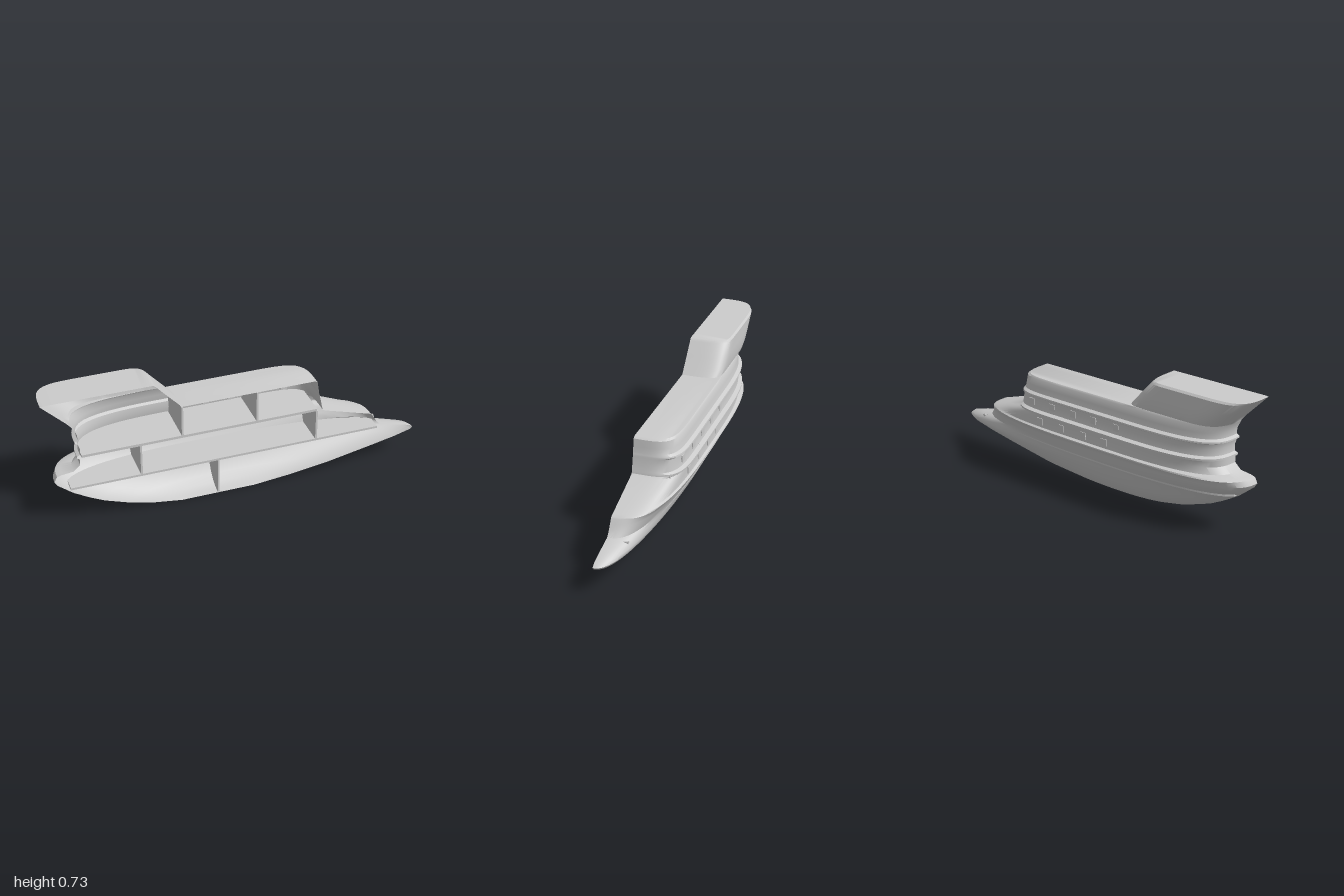
import * as THREE from 'three';
import { toCreasedNormals } from 'three/addons/utils/BufferGeometryUtils.js';

const CUT = 0.125; // z of the open cut plane along the ship's centre line
const SIDE_STEPS = 22;

// Waterlines of the half shell: [y, stern x, bow x, half breadth]
const ROWS = [
  [0, -0.3, 0.1, 0], [0.006, -0.34, 0.16, 0.03], [0.02, -0.44, 0.3, 0.068], [0.05, -0.57, 0.51, 0.105],
  [0.1, -0.71, 0.76, 0.138], [0.13, -0.77, 0.9, 0.155], [0.155, -0.815, 0.99, 0.168], [0.168, -0.835, 1, 0.174],
  [0.182, -0.86, 0.98, 0.18], [0.205, -0.89, 0.89, 0.19], [0.222, -0.91, 0.81, 0.2], [0.25, -0.945, 0.785, 0.214],
  [0.275, -0.96, 0.77, 0.226], [0.297, -0.95, 0.755, 0.236], [0.304, -0.945, 0.75, 0.246], [0.311, -0.92, 0.73, 0.246],
  [0.318, -0.86, 0.705, 0.232], [0.35, -0.825, 0.6, 0.229], [0.385, -0.825, 0.485, 0.232],
  [0.392, -0.838, 0.472, 0.25], [0.402, -0.838, 0.47, 0.25], [0.41, -0.822, 0.467, 0.228], [0.445, -0.82, 0.46, 0.222],
  [0.475, -0.83, 0.453, 0.225], [0.483, -0.845, 0.452, 0.239], [0.491, -0.845, 0.45, 0.238], [0.5, -0.828, 0.447, 0.22],
  [0.53, -0.83, 0.443, 0.214], [0.568, -0.848, 0.437, 0.21], [0.577, -0.853, 0.425, 0.204],
  [0.578, -0.853, -0.29, 0.203], [0.61, -0.88, -0.32, 0.209], [0.66, -0.93, -0.366, 0.209],
  [0.72, -0.99, -0.42, 0.208], [0.73, -1, -0.43, 0.198], [0.733, -0.985, -0.44, 0],
];

// Piecewise linear lookup in [[key, value], ...]
function ramp(points, k) {
  if (k <= points[0][0]) return points[0][1];
  for (let i = 1; i < points.length; i++) {
    const [a, va] = points[i - 1], [b, vb] = points[i];
    if (k <= b) return va + (vb - va) * (k - a) / (b - a);
  }
  return points[points.length - 1][1];
}

// Fullness of the ends: slender below, nearly square in the superstructure
const bowPower = y => ramp([[0.2, 2], [0.305, 3], [0.385, 9], [0.45, 12]], y);
const bowRoot = y => ramp([[0, 0.5], [0.15, 0.43], [0.305, 0.3], [0.4, 0.24]], y);
const sternPower = y => ramp([[0, 2], [0.3, 3], [0.7, 4]], y);
const sternRoot = y => ramp([[0, 0.5], [0.3, 0.34], [0.7, 0.25]], y);

const rowAt = y => [y, 1, 2, 3].map((v, i) => (i ? ramp(ROWS.map(r => [r[0], r[i]]), y) : y));
const middle = ([, xs, xe]) => xs + 0.45 * (xe - xs);

function halfBreadth(row, x) {
  const [y, xs, xe, b] = row, m = middle(row);
  const t = Math.min(1, x < m ? (m - x) / (m - xs) : (x - m) / (xe - m));
  const [p, q] = x < m ? [sternPower(y), sternRoot(y)] : [bowPower(y), bowRoot(y)];
  return b * Math.pow(Math.max(0, 1 - Math.pow(t, p)), q);
}

// Outline of one waterline from stern to bow, denser near both ends
function outline(row) {
  const m = middle(row), pts = [];
  for (let j = -SIDE_STEPS; j <= SIDE_STEPS; j++) {
    const t = 1 - Math.pow(1 - Math.abs(j) / SIDE_STEPS, 2.6);
    const x = j < 0 ? m + t * (row[1] - m) : m + t * (row[2] - m);
    pts.push([x, CUT - halfBreadth(row, x)]);
  }
  return pts;
}

function shellGeometry() {
  const pos = [], index = [], n = SIDE_STEPS * 2 + 1;
  ROWS.forEach((row, i) => {
    outline(row).forEach(([x, z], j) => {
      pos.push(x, row[0], z);
      if (i < ROWS.length - 1 && j < n - 1) {
        const a = i * n + j;
        index.push(a, a + n, a + 1, a + 1, a + n, a + n + 1);
      }
    });
  });
  const geo = new THREE.BufferGeometry();
  geo.setAttribute('position', new THREE.Float32BufferAttribute(pos, 3));
  geo.setIndex(index);
  return toCreasedNormals(geo, 0.65);
}

// Horizontal slab that follows the shell outline
function deckGeometry(y, thickness, xMin, xMax) {
  const row = rowAt(y);
  const edge = [];
  for (let i = 0; i <= 50; i++) {
    const x = xMin + (xMax - xMin) * i / 50;
    edge.push(new THREE.Vector2(x, CUT - 0.985 * halfBreadth(row, x)));
  }
  const shape = new THREE.Shape([new THREE.Vector2(xMin, CUT), ...edge, new THREE.Vector2(xMax, CUT)]);
  const geo = new THREE.ExtrudeGeometry(shape, { depth: thickness, bevelEnabled: false });
  return geo.rotateX(Math.PI / 2).translate(0, y, 0);
}

// Cross wall that follows the shell section
function bulkheadGeometry(x, y0, y1) {
  const pts = [new THREE.Vector2(CUT, y0)];
  for (let i = 0; i <= 16; i++) {
    const y = y0 + (y1 - y0) * i / 16;
    pts.push(new THREE.Vector2(CUT - 0.985 * halfBreadth(rowAt(y), x), y));
  }
  pts.push(new THREE.Vector2(CUT, y1));
  const geo = new THREE.ExtrudeGeometry(new THREE.Shape(pts), { depth: 0.01, bevelEnabled: false });
  return geo.rotateY(-Math.PI / 2).translate(x + 0.005, 0, 0);
}

export function createModel() {
  const model = new THREE.Group();
  model.name = 'halfShip';
  const material = new THREE.MeshStandardMaterial({ color: 0xcccccc, side: THREE.DoubleSide });
  const add = (name, geo) => {
    const mesh = new THREE.Mesh(geo, material);
    mesh.name = name;
    model.add(mesh);
    return mesh;
  };

  // Hull, superstructure and raised aft block
  add('shell', shellGeometry());

  // Decks
  add('lowerDeck', deckGeometry(0.218, 0.012, -0.88, 0.79));
  add('middleDeck', deckGeometry(0.405, 0.014, -0.815, 0.44));

  // Bulkheads between the decks
  [[-0.1, 0.004, 0.208], [-0.51, 0.216, 0.392], [0.44, 0.216, 0.392], [-0.29, 0.403, 0.575], [0.11, 0.403, 0.575]]
    .forEach(([x, y0, y1]) => add('bulkhead', bulkheadGeometry(x, y0, y1)));

  // Two rows of small windows set through the side
  const windowRow = (y, xs) => xs.forEach(x => {
    const mesh = add('window', new THREE.BoxGeometry(0.036, 0.036, 0.026));
    mesh.position.set(x, y, CUT - halfBreadth(rowAt(y), x) + 0.008);
  });
  windowRow(0.445, [-0.25, -0.1, 0.04, 0.185, 0.33]);
  windowRow(0.35, [-0.175, -0.035, 0.115, 0.27]);

  // Small anchor at the bow
  const anchor = add('anchor', new THREE.ConeGeometry(0.009, 0.03, 4));
  anchor.rotation.x = Math.PI / 2;
  anchor.position.set(0.81, 0.215, 0.03);

  return model;
}
